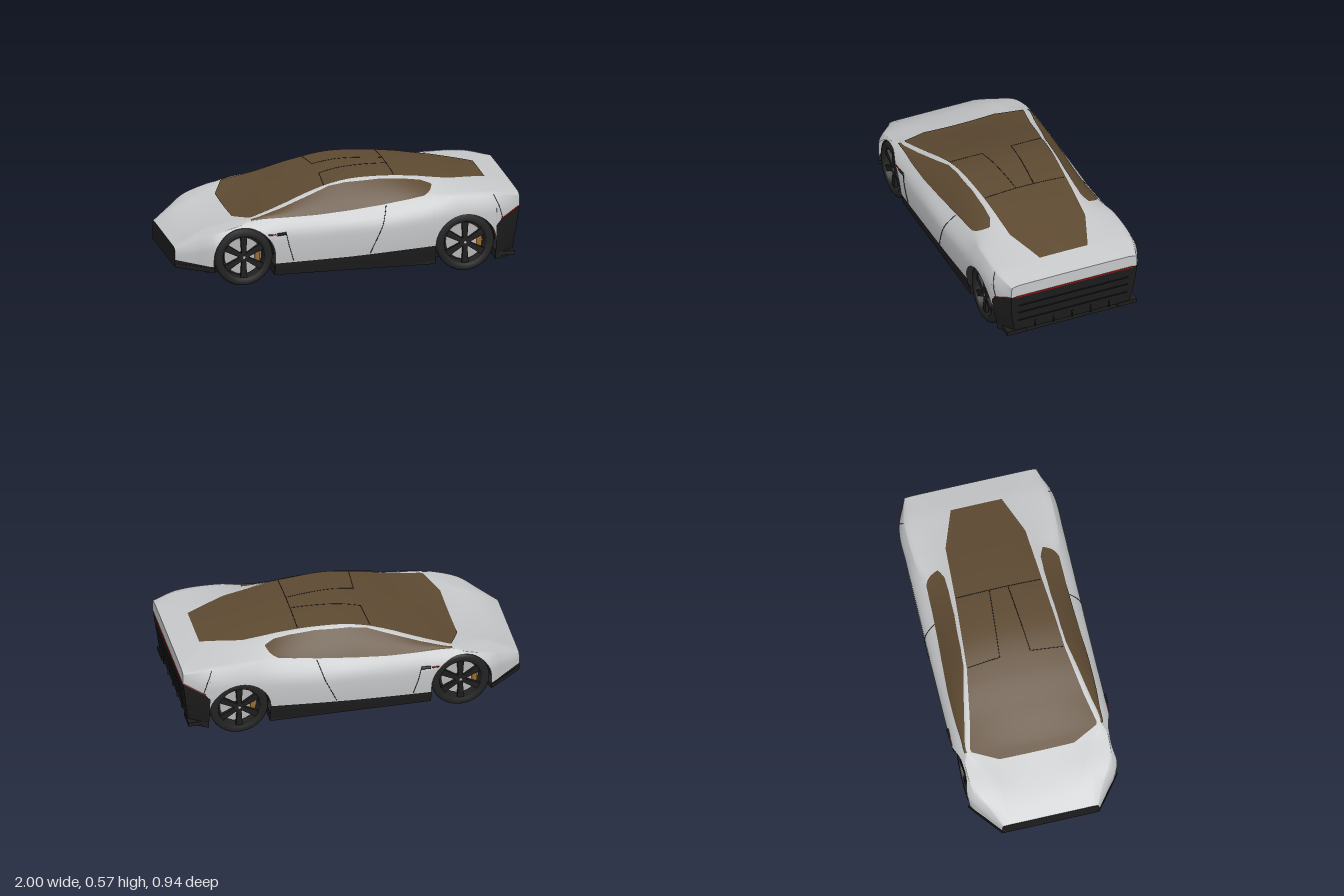
import * as THREE from 'three';
import { mergeVertices } from 'three/addons/utils/BufferGeometryUtils.js';

const mat = (name, color, side = THREE.FrontSide) => {
  const m = new THREE.MeshStandardMaterial({ color, side });
  m.name = name;
  return m;
};

// Body stations: x, widest y/z, shoulder y/z, roof edge y/z, centre y
const STATIONS = [
  [-1, .17, .285, .203, .28, .21, .25, .21],
  [-.9, .2, .362, .262, .335, .275, .27, .262],
  [-.8, .24, .437, .312, .40, .318, .27, .30],
  [-.65, .28, .457, .36, .42, .363, .33, .348],
  [-.58, .29, .46, .377, .405, .388, .385, .37],
  [-.4, .29, .462, .39, .41, .436, .352, .44],
  [-.2, .29, .462, .395, .41, .502, .31, .512],
  [0, .3, .462, .402, .402, .547, .28, .558],
  [.2, .3, .462, .416, .395, .55, .268, .563],
  [.4, .32, .462, .447, .388, .532, .262, .547],
  [.5, .33, .462, .456, .4, .516, .257, .534],
  [.62, .34, .462, .462, .42, .498, .25, .514],
  [.85, .35, .455, .456, .42, .468, .22, .47],
  [1, .36, .392, .425, .39, .436, .34, .438],
];
const WHEEL_X = [-.625, .675], WHEEL_R = .17, ARCH = .178;

// Smooth section parameters at x
function section(x) {
  const S = STATIONS;
  let i = 0;
  while (i < S.length - 2 && x > S[i + 1][0]) i++;
  const slope = (k, c) => {
    const a = S[Math.max(0, k - 1)], b = S[Math.min(S.length - 1, k + 1)];
    return (b[c] - a[c]) / (b[0] - a[0]);
  };
  const h = S[i + 1][0] - S[i][0], t = (x - S[i][0]) / h, u = 1 - t;
  const [ym, zm, ys, zs, yr, zr, yc] = [1, 2, 3, 4, 5, 6, 7].map(c =>
    S[i][c] * (1 + 2 * t) * u * u + S[i + 1][c] * (1 + 2 * u) * t * t + h * t * u * (u * slope(i, c) - t * slope(i + 1, c)));
  return { ym, zm, ys, zs, yr, zr, yc };
}

// Half-width of the flank at a height
function flankZ(x, y) {
  const s = section(x);
  if (y < s.ym) return s.zm - .02 * ((s.ym - y) / .2) ** 2;
  if (y < s.ys) return s.zs + (s.zm - s.zs) * (1 - ((y - s.ym) / (s.ys - s.ym)) ** 1.8);
  const t = Math.min(1, (y - s.ys) / (s.yr - s.ys));
  return s.zs + (s.zr - s.zs) * t + .008 * Math.sin(Math.PI * t);
}
const roofY = (x, z) => {
  const s = section(x);
  return s.yc - (s.yc - s.yr) * (z / s.zr) ** 2;
};

// Straight interpolation in a small [x, value] table
function table(T, x) {
  let i = 0;
  while (i < T.length - 2 && x > T[i + 1][0]) i++;
  return T[i][1] + (T[i + 1][1] - T[i][1]) * (x - T[i][0]) / (T[i + 1][0] - T[i][0]);
}

// Welded surface from columns of points, mirrored across z = 0
function mirroredGrid(cols) {
  const pos = [], idx = [], n = cols[0].length, half = cols.length * n;
  for (const s of [1, -1]) for (const c of cols) for (const p of c) pos.push(p[0], p[1], p[2] * s);
  for (let i = 0; i < cols.length - 1; i++) for (let j = 0; j < n - 1; j++) {
    const a = i * n + j, b = a + n, c = b + 1, d = a + 1;
    idx.push(a, b, c, a, c, d);
    idx.push(a + half, c + half, b + half, a + half, d + half, c + half);
  }
  let g = new THREE.BufferGeometry();
  g.setAttribute('position', new THREE.Float32BufferAttribute(pos, 3));
  g.setIndex(idx);
  g = mergeVertices(g, 1e-5);
  g.computeVertexNormals();
  return g;
}
const steps = (a, b, n) => Array.from({ length: n + 1 }, (_, i) => a + (b - a) * i / n);

// Extrude a plan outline of [x, z] half points upward from y0 to y1
function planSlab(pts, y0, y1) {
  const all = [...pts, ...pts.slice().reverse().map(([x, z]) => [x, -z])];
  const g = new THREE.ExtrudeGeometry(new THREE.Shape(all.map(p => new THREE.Vector2(...p))), { depth: y1 - y0, bevelEnabled: false });
  return g.rotateX(-Math.PI / 2).translate(0, y0, 0);
}

export function createModel() {
  const car = new THREE.Group();
  const silver = mat('silver paint', 0xc6c8ca, THREE.DoubleSide), glass = mat('bronze glass', 0x5e4a32, THREE.DoubleSide);
  const black = mat('black trim', 0x1d1d1d, THREE.DoubleSide), rubber = mat('tyre rubber', 0x222223);
  const red = mat('red light', 0xb01814), steel = mat('brake steel', 0xb4b4b4), bronze = mat('caliper bronze', 0x9a6a2c);
  const add = (name, geo, m, parent = car) => {
    const mesh = new THREE.Mesh(geo, m);
    mesh.name = name;
    parent.add(mesh);
    return mesh;
  };

  // Lower edge of the paint: sill lines joined by wheel arches
  const EDGE = [[-1, .14], [-.8, .125], [-.45, .128], [0, .14], [.5, .17]];
  const TAIL = [[.853, .27], [.88, .3], [1, .36]];
  const edge = x => x > .8 ? table(TAIL, x) : table(EDGE, x);
  const [fx, rx] = WHEEL_X;
  const arch = cx => steps(Math.PI, 0, 24).map(a => [cx + ARCH * Math.cos(a), .17 + ARCH * Math.sin(a)]);
  const line = (a, b, n) => steps(a, b, n).map(x => [x, edge(x)]);
  const nose = line(-1, fx - ARCH, 12), middle = line(fx + ARCH, rx - ARCH, 48), tail = line(rx + ARCH, 1, 12);

  // Painted shell
  const shell = [...nose, ...arch(fx), ...middle, ...arch(rx), ...tail].map(([x, y0]) => {
    const s = section(x), bottom = Math.min(y0, s.ys - .004);
    return [
      ...steps(bottom, s.ys, 10).map(y => [x, y, flankZ(x, y)]),
      ...steps(s.ys, s.yr, 6).slice(1).map(y => [x, y, flankZ(x, y)]),
      ...steps(s.zr, 0, 10).slice(1).map(z => [x, roofY(x, z), z]),
    ];
  });
  add('bodyShell', mirroredGrid(shell), silver);
  const close = col => [col, col.map(p => [p[0], p[1], 0])];
  add('tailFace', mirroredGrid(close(shell[shell.length - 1])), silver);
  add('noseFace', mirroredGrid(close(shell[0]).reverse()), black);

  // Black sills, front valance and sloping rear bumper
  const lower = (pts, y0) => pts.map(([x, y1]) => steps(y0, y1, 6).map(y =>
    [x - (x > .853 ? (.36 - y) * .13 * (x - .853) / .147 : 0), y, flankZ(x, y)]));
  const bumper = lower(tail, .09);
  add('frontValance', mirroredGrid(lower(nose, .1)), black);
  add('sills', mirroredGrid(lower(middle, .057)), black);
  add('rearBumper', mirroredGrid(bumper), black);
  add('rearPanel', mirroredGrid(close(bumper[bumper.length - 1])), black);
  add('noseLowerFace', mirroredGrid(close(lower(nose, .1)[0]).reverse()), black);
  add('splitter', planSlab([[-1, .285], [-.9, .365], [-.8, .44], [-.76, .3]], .095, .12), black);
  add('floor', planSlab([[-.82, .3], [-.447, .3], [-.447, .43], [.497, .43], [.497, .3], [.853, .3], [.853, .42], [.95, .36]], .055, .11), black);

  // Windscreen, roof and rear glass in one sheet
  const ROOF = [[-.65, .22], [-.58, .375], [-.4, .335], [-.13, .288], [.3, .255], [.62, .235], [.85, .15]];
  add('canopyGlass', mirroredGrid(steps(-.65, .85, 90).map(x =>
    steps(table(ROOF, x), 0, 10).map(z => [x, roofY(x, z) + .004, z]))), glass);

  // Side windows
  const LOW = [[-.58, .383], [-.5, .387], [-.2, .392], [0, .402], [.2, .42], [.35, .44], [.44, .455], [.48, .474], [.5, .495]];
  const HIGH = [[-.58, .387], [-.4, .43], [-.2, .493], [-.1, .525], [0, .538], [.2, .541], [.35, .53], [.44, .518], [.5, .499]];
  add('sideWindows', mirroredGrid(steps(-.58, .5, 72).map(x =>
    steps(table(LOW, x), table(HIGH, x), 8).map(y => [x, y + .002, flankZ(x, y) + .005]))), glass);

  // Thin strips that follow the flank, given as x/y corner points
  const strip = (name, pts, w, m) => {
    for (const s of [1, -1]) {
      const path = pts.slice(1).flatMap((b, k) => steps(0, 1, 8).slice(k ? 1 : 0).map(t => {
        const x = pts[k][0] + (b[0] - pts[k][0]) * t, y = pts[k][1] + (b[1] - pts[k][1]) * t;
        return new THREE.Vector3(x, y, s * (flankZ(x, y) + .001));
      }));
      add(name, new THREE.TubeGeometry(new THREE.CatmullRomCurve3(path), 24, w, 5), m);
    }
  };
  strip('doorFrontSeam', [[-.385, .31], [-.37, .24], [-.34, .14]], .0018, black);
  strip('doorRearSeam', [[.215, .415], [.18, .31], [.11, .155]], .0018, black);
  strip('bumperSeam', [[.84, .45], [.87, .38], [.89, .31]], .0015, black);
  strip('sideVent', [[-.44, .305], [-.385, .31]], .009, black);
  strip('sideMarker', [[-.49, .305], [-.445, .305]], .004, red);
  strip('tailLightSide', [[.88, .302], [.995, .358]], .004, red);
  const box = (name, w, h, d, x, y, z, m) => add(name, new THREE.BoxGeometry(w, h, d).translate(x, y, z), m);
  box('tailLight', .008, .007, .73, 1, .358, 0, red);

  // Rear ribs and diffuser fins
  for (const y of [.285, .23, .17]) box('rearRib', .012, .006, .68, 1 - (.36 - y) * .13, y, 0, black);
  for (const z of [-.23, -.115, 0, .115, .23]) box('diffuserFin', .05, .05, .006, .95, .115, z, black);
  for (const s of [1, -1]) box('rearWinglet', .1, .025, .12, .92, .083, s * .345, black);

  // Roof seams
  const roofSeam = pts => add('roofSeam', new THREE.TubeGeometry(new THREE.CatmullRomCurve3(
    pts.map(([x, z]) => new THREE.Vector3(x, roofY(x, z) + .004, z))), 16, .0016, 4), black);
  roofSeam(steps(-.25, .25, 10).map(z => [.295, z]));
  for (const s of [1, -1]) {
    roofSeam(steps(0, 1, 8).map(t => [-.11 + .4 * t, s * (.09 - .035 * t)]));
    roofSeam(steps(.09, .28, 6).map(z => [-.11 - (z - .09) * .08, s * z]));
  }

  // Wheels with wells
  const tyreProfile = [[.122, -.06], [.155, -.06], [.166, -.052], [.17, -.04], [.17, .04], [.166, .052], [.155, .06], [.128, .06], [.122, .05], [.122, -.06]]
    .map(p => new THREE.Vector2(...p));
  const spoke = new THREE.Shape([[-.012, .015], [.012, .015], [.02, .126], [-.02, .126]].map(p => new THREE.Vector2(...p)));
  const round = (r, d, z) => new THREE.CylinderGeometry(r, r, d, 32).rotateX(Math.PI / 2).translate(0, 0, z);
  for (const cx of WHEEL_X) for (const s of [1, -1]) {
    const wheel = new THREE.Group();
    wheel.name = cx < 0 ? 'frontWheel' : 'rearWheel';
    wheel.position.set(cx, WHEEL_R, s * .37);
    if (s < 0) wheel.rotation.y = Math.PI;
    add('tyre', new THREE.LatheGeometry(tyreProfile, 40).rotateX(Math.PI / 2), rubber, wheel).material.side = THREE.DoubleSide;
    add('brakeDisc', round(.108, .012, .012), steel, wheel);
    add('rimBack', round(.122, .01, -.02), black, wheel);
    add('hub', round(.03, .04, .03), black, wheel);
    add('hubCap', round(.008, .004, .051), steel, wheel);
    add('caliper', new THREE.BoxGeometry(.03, .07, .014).translate(.085, 0, .02), bronze, wheel);
    for (let k = 0; k < 6; k++)
      add('spoke', new THREE.ExtrudeGeometry(spoke, { depth: .018, bevelEnabled: false }).translate(0, 0, .032).rotateZ(k * Math.PI / 3), black, wheel);
    car.add(wheel);

    const well = new THREE.Shape();
    well.moveTo(-.172, -.11).lineTo(.172, -.11).lineTo(.172, 0).absarc(0, 0, .172, 0, Math.PI, false);
    add('wheelWellWall', new THREE.ExtrudeGeometry(well, { depth: .03, bevelEnabled: false, curveSegments: 24 })
      .translate(cx, .17, s > 0 ? .265 : -.295), black);
    add('wheelWellLiner', new THREE.CylinderGeometry(.176, .176, .135, 32, 1, true, Math.PI / 2, Math.PI)
      .rotateX(Math.PI / 2).translate(cx, .17, s * .352), black);
  }
  return car;
}
